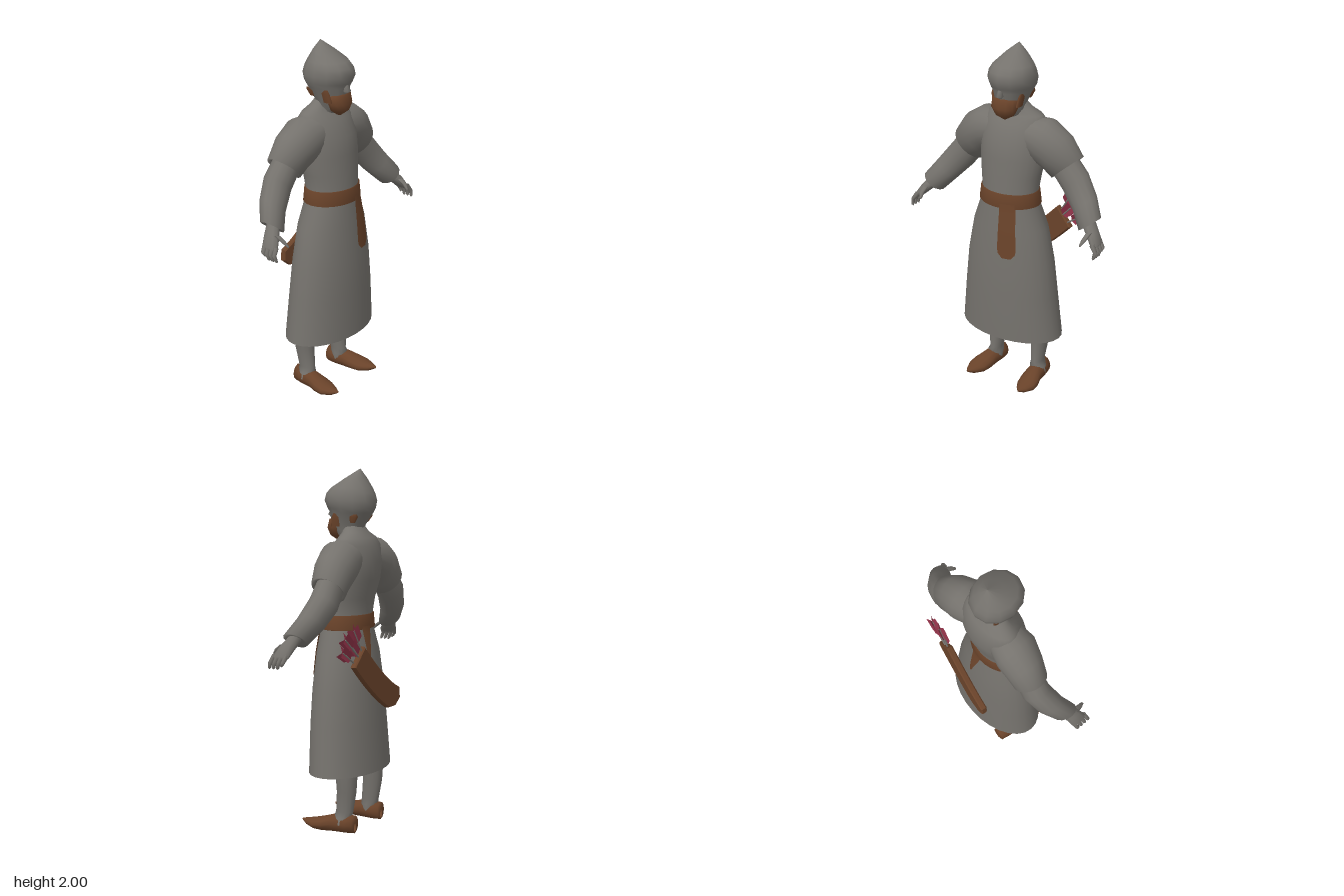
import * as THREE from 'three';

const mat = (name, color, side = THREE.FrontSide) => {
  const m = new THREE.MeshStandardMaterial({ color, side });
  m.name = name;
  return m;
};

// Skin over elliptical rings [x, y, z, tilt, radiusU, radiusZ], listed from top to tip
function loft(rings, sides = 12) {
  const pos = [], idx = [];
  for (const [x, y, z, tilt, ru, rz] of rings) {
    for (let i = 0; i < sides; i++) {
      const t = (i / sides) * Math.PI * 2, u = ru * Math.cos(t);
      pos.push(x + u * Math.cos(tilt), y + u * Math.sin(tilt), z + rz * Math.sin(t));
    }
  }
  for (let j = 0; j < rings.length - 1; j++) {
    for (let i = 0; i < sides; i++) {
      const k = (i + 1) % sides, a = j * sides + i, b = j * sides + k;
      idx.push(a, b, a + sides, b, b + sides, a + sides);
    }
  }
  const g = new THREE.BufferGeometry();
  g.setAttribute('position', new THREE.Float32BufferAttribute(pos, 3));
  g.setIndex(idx);
  g.computeVertexNormals();
  return g;
}

// Upright section: height, half width, front z, back z
const upright = ([y, w, f, b], x = 0) => [x, y, (f + b) / 2, 0, w, (f - b) / 2];

// Copy of a geometry on the other side of x = 0
function mirrored(geo) {
  const g = geo.clone().scale(-1, 1, 1), a = g.index.array;
  for (let i = 0; i < a.length; i += 3) [a[i], a[i + 1]] = [a[i + 1], a[i]];
  g.computeVertexNormals();
  return g;
}

const ROBE = [
  [1.70, 0.065, 0.04, -0.06], [1.66, 0.10, 0.04, -0.085], [1.63, 0.16, 0.05, -0.11],
  [1.59, 0.19, 0.085, -0.135], [1.5, 0.198, 0.13, -0.152], [1.4, 0.195, 0.142, -0.14],
  [1.3, 0.178, 0.152, -0.112], [1.21, 0.165, 0.16, -0.10], [1.13, 0.175, 0.166, -0.105],
  [1.0, 0.225, 0.18, -0.13], [0.8, 0.265, 0.196, -0.15], [0.6, 0.287, 0.205, -0.165],
  [0.34, 0.316, 0.205, -0.18],
];

// Robe surface z at a point; dir 1 = front, -1 = back
function robeZ(x, y, dir) {
  let j = 0;
  while (j < ROBE.length - 2 && ROBE[j + 1][0] > y) j++;
  const A = ROBE[j], B = ROBE[j + 1], t = (A[0] - y) / (A[0] - B[0]);
  const [, w, f, b] = A.map((v, i) => v + (B[i] - v) * t);
  return (f + b) / 2 + dir * ((f - b) / 2) * Math.sqrt(Math.max(0, 1 - (x / w) ** 2));
}

// Cloth strip that hugs the robe
function strip(top, bottom, centre, halfWidth, dir) {
  const g = new THREE.PlaneGeometry(1, 1, 6, 12), p = g.attributes.position;
  for (let i = 0; i < p.count; i++) {
    const v = 0.5 - p.getY(i), y = top + (bottom - top) * v;
    const x = centre(v) + p.getX(i) * 2 * halfWidth(v);
    p.setXYZ(i, x, y, robeZ(x, y, dir) + dir * 0.008);
  }
  g.computeVertexNormals();
  return g;
}

export function createModel() {
  const root = new THREE.Group();
  root.name = 'robedArcher';
  const cloth = mat('greyCloth', 0x75726d, THREE.DoubleSide);
  const brown = mat('brownLeather', 0x6a432a, THREE.DoubleSide);
  const red = mat('redFeather', 0x8e3247, THREE.DoubleSide);

  const add = (name, geo, m, parent = root) => {
    const mesh = new THREE.Mesh(geo, m);
    mesh.name = name;
    parent.add(mesh);
    return mesh;
  };
  const pair = (name, geo, m) => {
    add(name + 'Left', geo, m);
    add(name + 'Right', mirrored(geo), m);
  };

  // Robe and head
  add('robe', loft(ROBE.map((r) => upright(r)), 28), cloth);
  add('head', loft([
    [2.0, 0.002, -0.048, -0.052], [1.95, 0.062, 0.035, -0.085], [1.9, 0.108, 0.115, -0.112],
    [1.87, 0.122, 0.145, -0.128], [1.83, 0.13, 0.156, -0.14], [1.79, 0.122, 0.138, -0.132],
    [1.765, 0.107, 0.125, -0.12], [1.7, 0.083, 0.118, -0.075], [1.65, 0.068, 0.09, -0.06],
    [1.6, 0.06, 0.04, -0.06],
  ].map((r) => upright(r)), 12), cloth);
  add('nose', loft([[0, 1.79, 0.12, 0, 0.01, 0.012], [0, 1.75, 0.128, 0, 0.02, 0.024],
    [0, 1.735, 0.12, 0, 0.004, 0.006]], 8), cloth);

  // Beard, whiskers and hair
  add('beard', loft([
    [1.735, 0.03, 0.115, 0.06], [1.728, 0.076, 0.13, 0.02], [1.68, 0.078, 0.142, 0.025],
    [1.64, 0.055, 0.128, 0.035], [1.612, 0.008, 0.09, 0.06],
  ].map((r) => upright(r)), 12), brown);
  pair('whisker', loft([[0.088, 1.768, 0.05, 0, 0.006, 0.015], [0.085, 1.74, 0.052, 0, 0.011, 0.028],
    [0.074, 1.69, 0.06, 0, 0.012, 0.03]], 8), brown);
  pair('napeHair', loft([[0.084, 1.758, -0.05, 0, 0.004, 0.028], [0.08, 1.745, -0.05, 0, 0.012, 0.032],
    [0.072, 1.712, -0.045, 0, 0.008, 0.015]], 8), brown);

  // Belt and hanging sash
  add('belt', loft([[1.215, 0.16, 0.155, -0.095], [1.212, 0.172, 0.167, -0.107],
    [1.135, 0.182, 0.173, -0.112], [1.13, 0.17, 0.16, -0.10]].map((r) => upright(r)), 28), brown);
  add('sash', strip(1.16, 0.85, (v) => 0.066 + 0.013 * v,
    (v) => (0.042 + 0.014 * v) * Math.sqrt(Math.max(0.2, 1 - Math.max(0, (v - 0.85) / 0.15) ** 2)), 1), brown);
  add('backSash', strip(1.15, 0.93, (v) => 0.03 + 0.02 * v, (v) => 0.035 * (1 - 0.85 * v), -1), brown);

  // Sleeves, forearms
  pair('shortSleeve', loft([
    [0.08, 1.52, -0.02, 1.75, 0.10, 0.10], [0.19, 1.495, -0.025, 1.4, 0.128, 0.122],
    [0.262, 1.445, -0.033, 1.05, 0.122, 0.108], [0.32, 1.37, -0.04, 0.72, 0.108, 0.092],
    [0.31, 1.38, -0.04, 0.72, 0.08, 0.07],
  ], 18), cloth);
  pair('forearm', loft([
    [0.27, 1.42, -0.04, 0.75, 0.085, 0.07], [0.37, 1.30, -0.042, 0.72, 0.086, 0.076],
    [0.45, 1.205, -0.01, 0.7, 0.078, 0.073], [0.515, 1.122, 0.042, 0.65, 0.071, 0.066],
    [0.51, 1.13, 0.04, 0.65, 0.03, 0.03],
  ], 14), cloth);

  // Hands
  pair('palm', loft([
    [0.51, 1.13, 0.045, 0.65, 0.036, 0.038], [0.552, 1.085, 0.07, 0.55, 0.03, 0.046],
    [0.587, 1.04, 0.088, 0.4, 0.02, 0.05], [0.595, 1.025, 0.09, 0.4, 0.005, 0.035],
  ], 10), cloth);
  for (let i = 0; i < 4; i++) {
    const z = 0.052 + i * 0.025, drop = i === 0 ? 0.015 : 0;
    pair('finger' + (i + 1), loft([
      [0.582, 1.05, z, 0.5, 0.015, 0.013], [0.608, 1.015, z + 0.008, 0.2, 0.012, 0.012],
      [0.603, 0.985 + drop, z + 0.018, -0.2, 0.008, 0.009], [0.599, 0.978 + drop, z + 0.02, -0.2, 0.002, 0.002],
    ], 7), cloth);
  }
  pair('thumb', loft([
    [0.545, 1.10, 0.095, 0.2, 0.018, 0.02], [0.54, 1.075, 0.135, 0, 0.014, 0.016],
    [0.532, 1.05, 0.16, 0, 0.008, 0.009], [0.53, 1.042, 0.164, 0, 0.002, 0.002],
  ], 7), cloth);

  // Legs and pointed shoes
  pair('leg', loft([
    [0.15, 0.6, -0.045, 0, 0.075, 0.075], [0.148, 0.35, -0.05, 0, 0.062, 0.063],
    [0.147, 0.24, -0.05, 0, 0.05, 0.058], [0.145, 0.12, -0.036, 0, 0.034, 0.052],
    [0.15, 0.09, -0.03, 0, 0.045, 0.052], [0.155, 0.05, -0.028, 0, 0.05, 0.035],
  ], 14), cloth);
  const shoe = loft([
    [-0.105, 0.15, 0.012, 0.06, 0.01], [-0.102, 0.15, 0.04, 0.105, 0.003], [-0.06, 0.152, 0.048, 0.105, 0],
    [0.02, 0.158, 0.05, 0.1, 0], [0.08, 0.168, 0.06, 0.082, 0], [0.13, 0.174, 0.058, 0.068, 0.004],
    [0.18, 0.177, 0.033, 0.058, 0.018], [0.216, 0.18, 0.006, 0.052, 0.04],
  ].map(([z, x, w, top, low]) => [x, -z, (top + low) / 2, 0, w, (top - low) / 2]), 12);
  shoe.rotateX(-Math.PI / 2);
  pair('shoe', shoe, brown);

  // Quiver slung across the back
  const quiver = new THREE.Group();
  quiver.name = 'quiver';
  quiver.position.set(0.07, 0, -0.185);
  quiver.rotation.y = -0.11;
  root.add(quiver);
  const s = new THREE.Shape();
  s.moveTo(0.2, 0.96);
  s.lineTo(0.115, 1.055);
  s.quadraticCurveTo(-0.08, 0.85, -0.21, 0.79);
  s.lineTo(-0.215, 0.735);
  s.lineTo(-0.175, 0.7);
  s.lineTo(-0.11, 0.698);
  s.quadraticCurveTo(0.03, 0.78, 0.2, 0.96);
  const caseGeo = new THREE.ExtrudeGeometry(s, { depth: 0.022, bevelEnabled: true, bevelThickness: 0.007,
    bevelSize: 0.006, bevelSegments: 1, curveSegments: 8 });
  caseGeo.translate(0, 0, -0.011);
  add('quiverCase', caseGeo, brown, quiver);

  // Arrows: thin shaft with crossed feather vanes
  const vane = new THREE.Shape();
  [[0.004, 0], [0.032, 0.025], [0.036, 0.1], [0, 0.085], [-0.036, 0.1], [-0.032, 0.025], [-0.004, 0]]
    .forEach(([x, y], i) => (i ? vane.lineTo(x, y) : vane.moveTo(x, y)));
  const vaneGeo = new THREE.ShapeGeometry(vane);
  const shaftGeo = new THREE.CylinderGeometry(0.005, 0.005, 0.2, 6);
  [[0.125, 1.03, 0.13, -0.55], [0.145, 1.01, 0.07, -0.75], [0.15, 1.005, 0.15, -0.85],
    [0.175, 0.975, 0.11, -0.98]].forEach(([x, y, reach, angle], i) => {
    const arrow = new THREE.Group();
    arrow.name = 'arrow' + (i + 1);
    arrow.position.set(x, y, i % 2 ? 0.008 : -0.004);
    arrow.rotation.z = angle;
    quiver.add(arrow);
    add('shaft', shaftGeo, cloth, arrow).position.y = reach - 0.08;
    for (const turn of [0.45, -0.45]) {
      const v = add('feather', vaneGeo, red, arrow);
      v.position.y = reach - 0.06;
      v.rotation.y = turn;
    }
  });
  return root;
}
